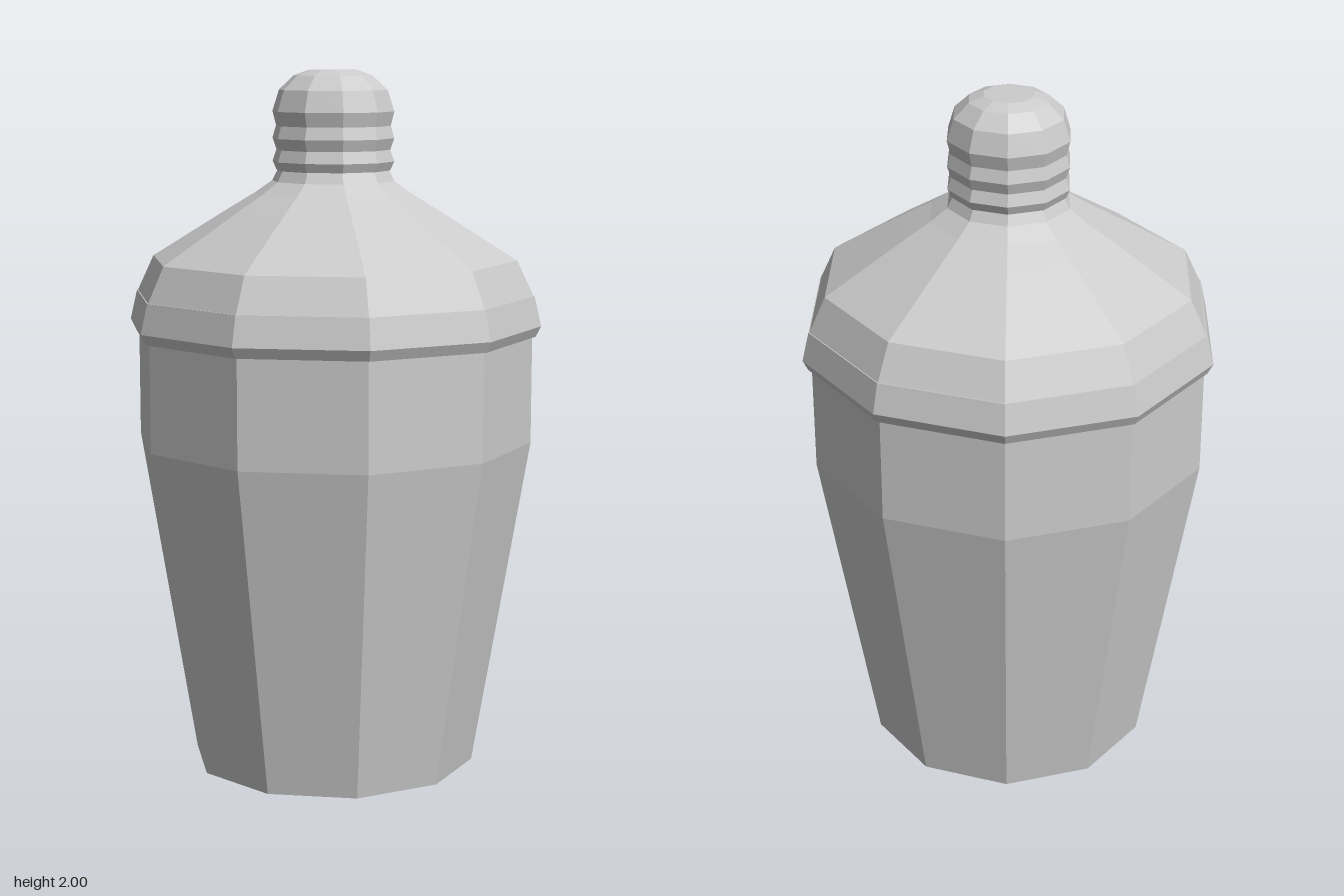
import * as THREE from 'three';

const SIDES = 10;

// Faceted ten-sided turned part; profile runs bottom to top as [radius, height]
function turned(name, profile) {
  const points = profile.map(([r, y]) => new THREE.Vector2(r, y));
  const mesh = new THREE.Mesh(
    new THREE.LatheGeometry(points, SIDES),
    new THREE.MeshStandardMaterial({ color: 0xcccccc, flatShading: true })
  );
  mesh.name = name;
  return mesh;
}

export function createModel() {
  const shaker = new THREE.Group();
  shaker.name = 'cocktailShaker';

  // Tapered cup with a straight upper band
  shaker.add(turned('cup', [[0, 0], [0.41, 0], [0.57, 0.95], [0.57, 1.27], [0, 1.27]]));

  // Rim band around the joint
  shaker.add(turned('lidRim', [
    [0.56, 1.255], [0.58, 1.255], [0.595, 1.285], [0.575, 1.37], [0.565, 1.37],
  ]));

  // Sloping shoulder and neck
  shaker.add(turned('lidShoulder', [
    [0.572, 1.37], [0.525, 1.47], [0.3, 1.61], [0.225, 1.655],
    [0.175, 1.69], [0.16, 1.72], [0, 1.72],
  ]));

  // Ribbed domed cap
  shaker.add(turned('cap', [
    [0, 1.72], [0.163, 1.72], [0.174, 1.745], [0.163, 1.778], [0.174, 1.81],
    [0.164, 1.845], [0.174, 1.885], [0.155, 1.945], [0.112, 1.985],
    [0.07, 2], [0, 2],
  ]));

  return shaker;
}
